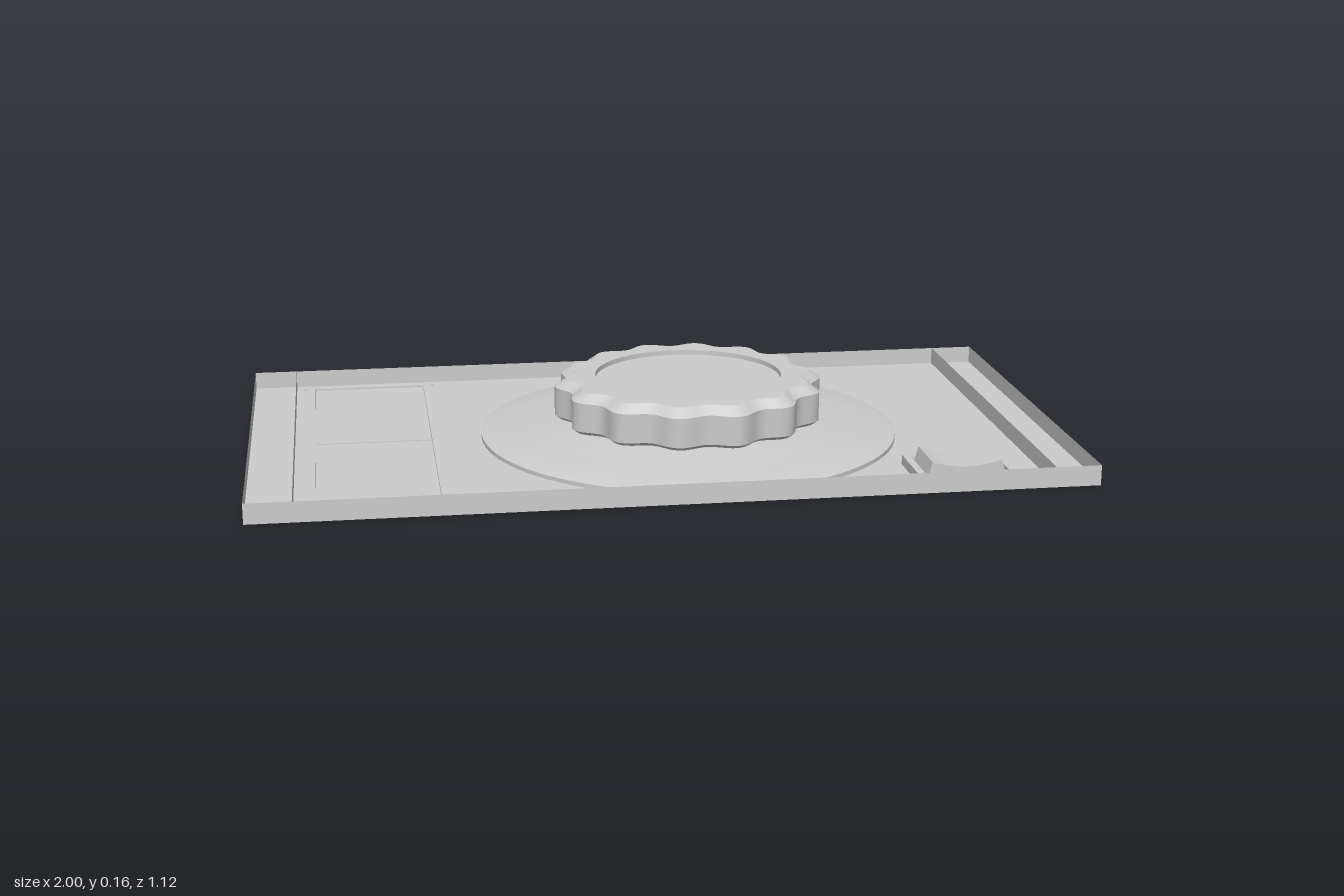
import * as THREE from 'three';
import { toCreasedNormals } from 'three/addons/utils/BufferGeometryUtils.js';

const grey = new THREE.MeshStandardMaterial({ color: 0xcccccc });
const thin = new THREE.MeshStandardMaterial({ color: 0xcccccc, side: THREE.DoubleSide });
const W = 2, D = 1.12, H = 0.05, FLOOR = 0.006;

function add(group, name, geometry, x = 0, y = 0, z = 0, material = grey) {
  const mesh = new THREE.Mesh(geometry, material);
  mesh.name = name;
  mesh.position.set(x, y, z);
  group.add(mesh);
  return mesh;
}

// Box given by its centre on the plan, its bottom and its size
function block(group, name, x, z, y0, w, h, d) {
  return add(group, name, new THREE.BoxGeometry(w, h, d), x, y0 + h / 2, z);
}

// Flat rectangular frame lying on the plan
function frame(group, name, x, z, y0, w, d, border, h) {
  const rect = (s, a, b) => s.moveTo(-a, -b).lineTo(a, -b).lineTo(a, b).lineTo(-a, b).closePath();
  const shape = rect(new THREE.Shape(), w / 2, d / 2);
  shape.holes.push(rect(new THREE.Path(), w / 2 - border, d / 2 - border));
  const geo = new THREE.ExtrudeGeometry(shape, { depth: h, bevelEnabled: false });
  geo.rotateX(-Math.PI / 2);
  return add(group, name, geo, x, y0, z);
}

// Knob: rings of a scalloped outline, then round rings for the recessed cap
function knobGeometry() {
  const lobes = 14, seg = lobes * 10;
  const outline = (a) => 0.326 + 0.014 * Math.cos(lobes * a);
  const rings = [
    () => [0, 0.055],
    (r) => [r - 0.012, 0.055],
    (r) => [r, 0.064],
    (r) => [r, 0.137],
    (r) => [r - 0.03, 0.157],
    () => [0.235, 0.157],
    () => [0.235, 0.145],
    () => [0, 0.145],
  ];
  const pos = [], index = [];
  rings.forEach((ring, i) => {
    for (let j = 0; j < seg; j++) {
      const a = (j / seg) * Math.PI * 2;
      const [r, y] = ring(outline(a));
      pos.push(r * Math.cos(a), y, r * Math.sin(a));
      if (i === 0) continue;
      const k = (j + 1) % seg;
      const p = (i - 1) * seg + j, q = (i - 1) * seg + k, s = i * seg + j, t = i * seg + k;
      if (i > 1) index.push(p, s, q);
      if (i === 1) index.push(p, s, t);
      else if (i < rings.length - 1) index.push(q, s, t);
    }
  });
  const geo = new THREE.BufferGeometry();
  geo.setAttribute('position', new THREE.Float32BufferAttribute(pos, 3));
  geo.setIndex(index);
  return toCreasedNormals(geo, 0.5);
}

export function createModel() {
  const model = new THREE.Group();
  model.name = 'controlPanel';

  // Shallow open tray with thin walls and a cross rib near each end
  const tray = new THREE.Group();
  tray.name = 'tray';
  model.add(tray);
  block(tray, 'floor', 0, 0, 0, W, FLOOR, D);
  for (const s of [-1, 1]) {
    add(tray, 'longWall', new THREE.PlaneGeometry(W, H), 0, H / 2, s * D / 2, thin)
      .rotation.y = s > 0 ? 0 : Math.PI;
    for (const [name, x] of [['endWall', W / 2], ['crossRib', 0.89]]) {
      add(tray, name, new THREE.PlaneGeometry(D, H), s * x, H / 2, 0, thin)
        .rotation.y = s * Math.PI / 2;
    }
  }

  // Round dish under the knob, rising to a short stem
  const profile = [[0.525, FLOOR], [0.525, 0.016], [0.515, 0.02], [0.42, 0.027],
    [0.37, 0.034], [0.33, 0.041], [0.28, 0.047], [0.28, 0.056]];
  const dish = new THREE.LatheGeometry(profile.map(([r, y]) => new THREE.Vector2(r, y)), 96);
  add(model, 'dish', toCreasedNormals(dish, 0.6), 0.1, 0, 0, thin);
  add(model, 'knob', knobGeometry(), 0.1);

  // Display with two panes in a low frame
  const display = new THREE.Group();
  display.name = 'display';
  model.add(display);
  frame(display, 'displayFrame', -0.695, 0, FLOOR, 0.33, 1.04, 0.02, 0.008);
  for (const s of [-1, 1]) {
    block(display, 'pane', -0.695, s * 0.251, FLOOR, 0.286, 0.004, 0.496);
    block(display, 'displayLip', -0.695, s * 0.523, FLOOR, 0.35, 0.004, 0.006);
  }

  // Rocker switch with a hollowed top in a raised surround
  const rocker = new THREE.Group();
  rocker.name = 'rockerSwitch';
  model.add(rocker);
  frame(rocker, 'surround', 0.69, 0.435, FLOOR, 0.24, 0.17, 0.018, 0.024);
  const side = new THREE.Shape();
  side.moveTo(-0.098, 0).lineTo(0.098, 0).lineTo(0.085, 0.05);
  side.quadraticCurveTo(0, 0.022, -0.085, 0.05).closePath();
  const body = new THREE.ExtrudeGeometry(side, { depth: 0.13, bevelEnabled: false, curveSegments: 16 });
  add(rocker, 'rocker', toCreasedNormals(body, 0.5), 0.69, FLOOR, 0.37);

  return model;
}
